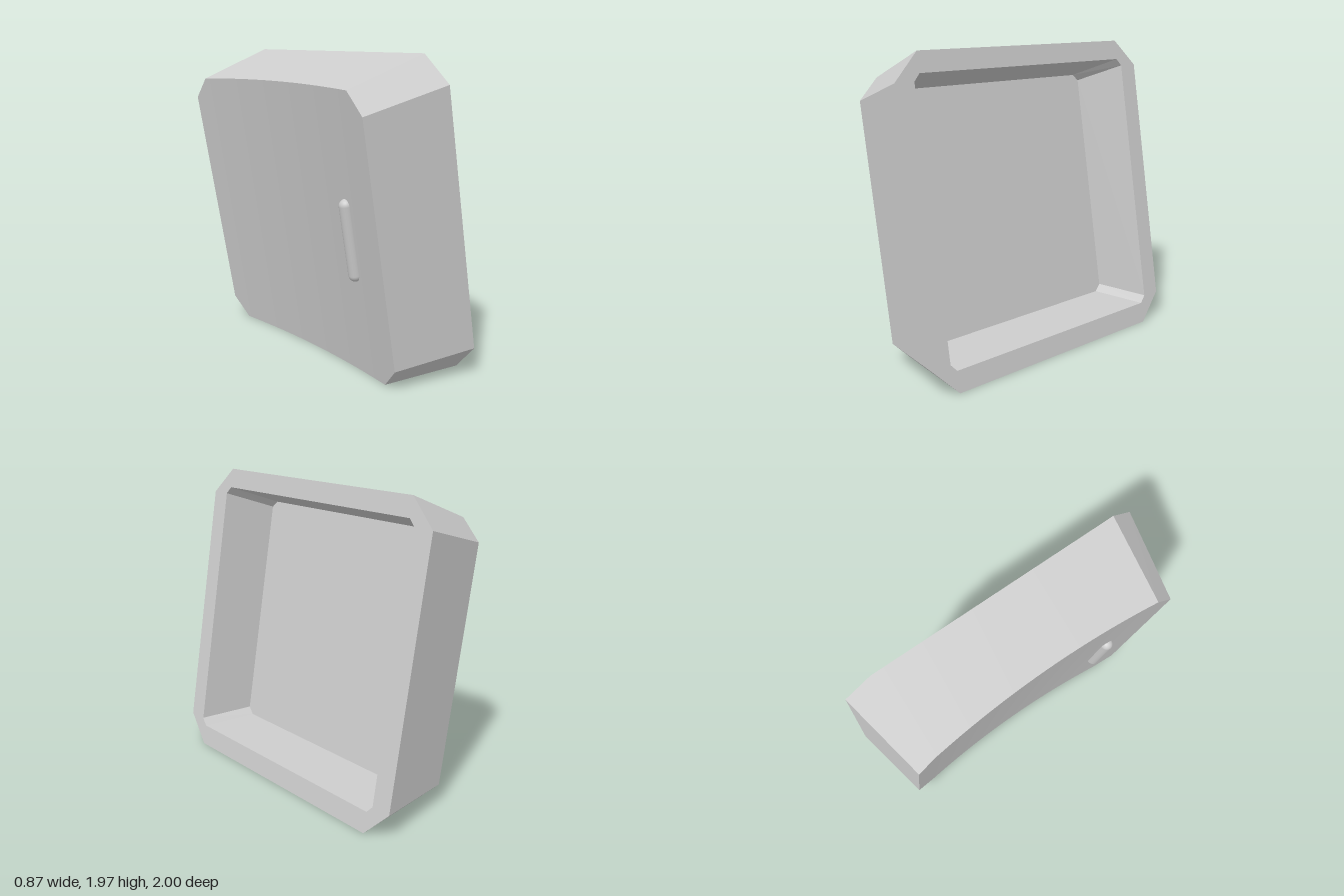
import * as THREE from 'three';

const N = 20;        // divisions across the width
const LEAN = 0.1763; // backward lean of the front, tan 10 degrees

// Closed ring of a bevelled rectangle: top edge, +z side, bottom edge, -z side
function ring({ y, zEdge, zSide, top, x }) {
  const [y0, y1, y2] = y;
  const point = (py, z) => new THREE.Vector3(x(py, z), py, z);
  const pts = [];
  for (let i = 0; i <= N; i++) {
    const z = zEdge * (2 * i / N - 1);
    pts.push(point(top(z), z));
  }
  pts.push(point(y2, zSide), point(y1, zSide));
  for (let i = 0; i <= N; i++) pts.push(point(y0, zEdge * (1 - 2 * i / N)));
  pts.push(point(y1, -zSide), point(y2, -zSide));
  return pts;
}

// Band of faces joining two rows of points
function strip(a, b, closed, smooth) {
  const n = a.length;
  const positions = [...a, ...b].flatMap(p => [p.x, p.y, p.z]);
  const index = [];
  for (let i = 0; i < (closed ? n : n - 1); i++) {
    const j = (i + 1) % n;
    index.push(i, n + i, j, j, n + i, n + j);
  }
  let g = new THREE.BufferGeometry();
  g.setAttribute('position', new THREE.Float32BufferAttribute(positions, 3));
  g.setIndex(index);
  if (!smooth) g = g.toNonIndexed();
  g.computeVertexNormals();
  return g;
}

// Upper and lower halves of a ring, both running from -z to +z
function halves(r) {
  const upper = [r[r.length - 1], ...r.slice(0, N + 2)];
  const lower = r.slice(N + 2, r.length - 1).reverse();
  return [upper, lower];
}

export function createModel() {
  const group = new THREE.Group();
  group.name = 'bevelledHousing';
  const grey = new THREE.MeshStandardMaterial({ color: 0xcccccc });
  grey.name = 'light grey';
  const add = (name, geometry) => {
    const mesh = new THREE.Mesh(geometry, grey);
    mesh.name = name;
    group.add(mesh);
    return mesh;
  };

  // Hollow of the back surface, deepest on the centre line
  const hollow = z => 0.0635 * (1 - (z / 0.9) ** 2);
  const backX = (y, z) => -0.1412 - LEAN * y + hollow(z);
  const frontX = y => 0.432 - LEAN * y;

  const front = ring({ y: [0, 0.18, 1.8], zEdge: 0.825, zSide: 1, top: () => 1.97, x: frontX });
  const back = ring({
    y: [0, 0.135, 1.645], zEdge: 0.77, zSide: 0.9, x: backX,
    top: z => (1.939 + 0.364 * (hollow(z) - 0.1412)) / 1.0642, // follows the sloping top
  });
  const mouth = ring({ y: [0.135, 0.18, 1.8], zEdge: 0.825, zSide: 0.867, top: () => 1.845, x: frontX });
  const floor = ring({
    y: [0.135, 0.18, 1.675], zEdge: 0.757, zSide: 0.802, top: () => 1.715,
    x: y => 0.052 - LEAN * y,
  });

  add('outerWalls', strip(front, back, true));
  add('frontRim', strip(mouth, front, true));
  add('cavityWalls', strip(floor, mouth, true));

  const [floorTop, floorBottom] = halves(floor);
  add('cavityFloor', strip(floorBottom, floorTop, false));

  const [backTop, backBottom] = halves(back);
  add('curvedBack', strip(backTop, backBottom, false, true));

  // Rounded grip half sunk into the back
  const grip = add('backGrip', new THREE.CapsuleGeometry(0.042, 0.435, 8, 20));
  grip.position.set(backX(0.885, 0.6), 0.885, 0.6);
  grip.rotation.z = Math.atan(LEAN);

  return group;
}
